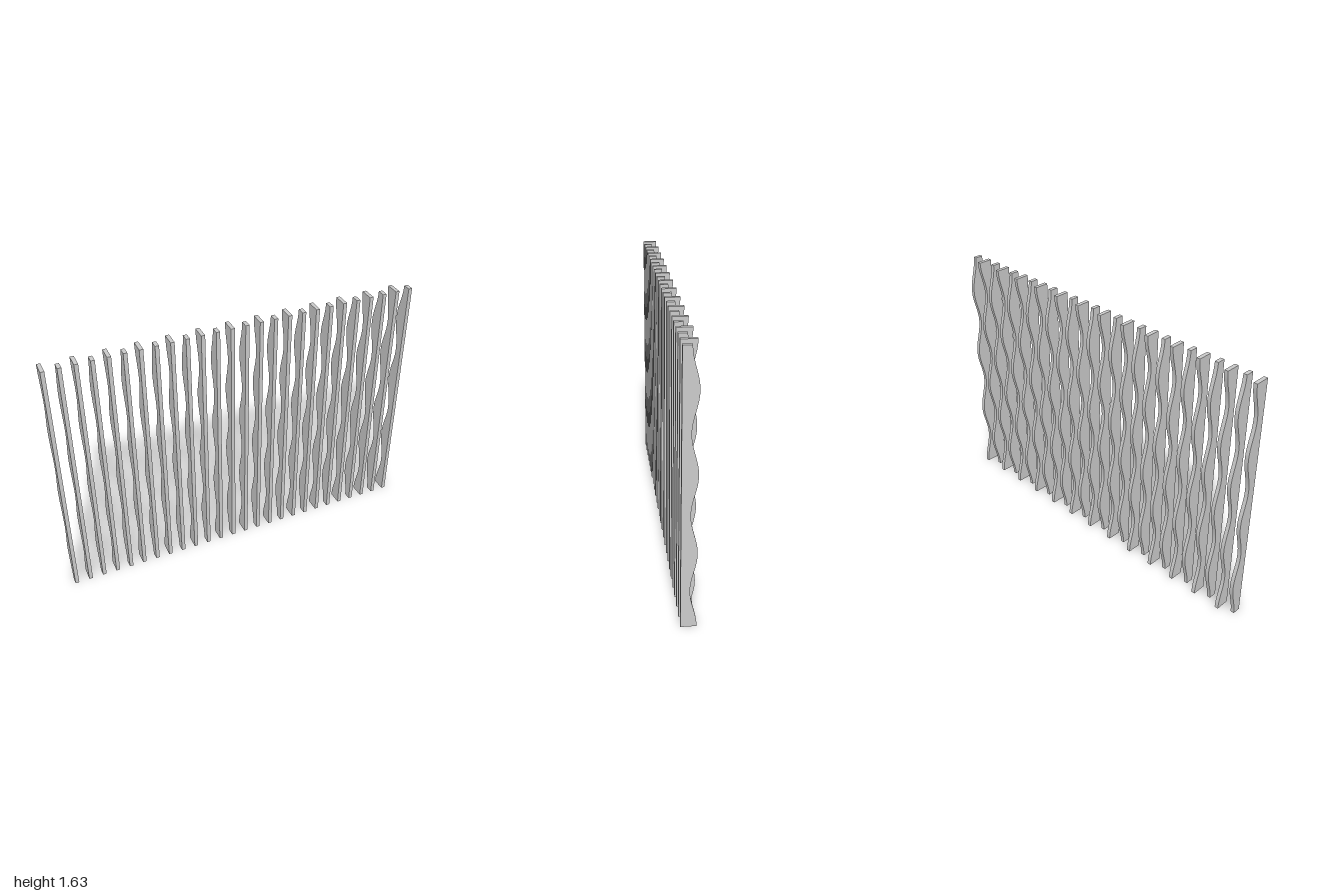
import * as THREE from 'three';
import { toCreasedNormals } from 'three/addons/utils/BufferGeometryUtils.js';

const HEIGHT = 1.635, DEPTH = 0.09, WAVE = 0.039, THICK = 0.024;
const PERIODS = 3.5, COUNT = 26;

// Fin outline: straight front edge (+x), wavy back edge (-x)
function finGeometry(phase) {
  const steps = 84;
  const shape = new THREE.Shape();
  shape.moveTo(DEPTH / 2, 0);
  shape.lineTo(DEPTH / 2, HEIGHT);
  for (let i = steps; i >= 0; i--) {
    const t = i / steps;
    const inset = WAVE * (0.5 - 0.5 * Math.cos(t * PERIODS * Math.PI * 2 + phase));
    shape.lineTo(-DEPTH / 2 + inset, t * HEIGHT);
  }
  shape.closePath();
  const geometry = new THREE.ExtrudeGeometry(shape, { depth: THICK, bevelEnabled: false });
  geometry.translate(0, 0, -THICK / 2);
  return toCreasedNormals(geometry, Math.PI / 6);
}

export function createModel() {
  const group = new THREE.Group();
  group.name = 'finScreen';
  const material = new THREE.MeshStandardMaterial({ color: 0xcccccc });

  // Two fin patterns in opposite phase, alternating along the row
  const patterns = [finGeometry(Math.PI), finGeometry(0)];
  const start = new THREE.Vector3(-0.965, 0, 0.639);
  const end = start.clone().negate();
  const rowAngle = Math.atan2(start.z, -start.x);

  for (let i = 0; i < COUNT; i++) {
    const fin = new THREE.Mesh(patterns[i % 2], material);
    fin.name = `fin${i + 1}`;
    fin.position.lerpVectors(start, end, i / (COUNT - 1));
    // Each fin stands square to the row
    fin.rotation.y = rowAngle - Math.PI / 2;
    group.add(fin);
  }
  return group;
}
